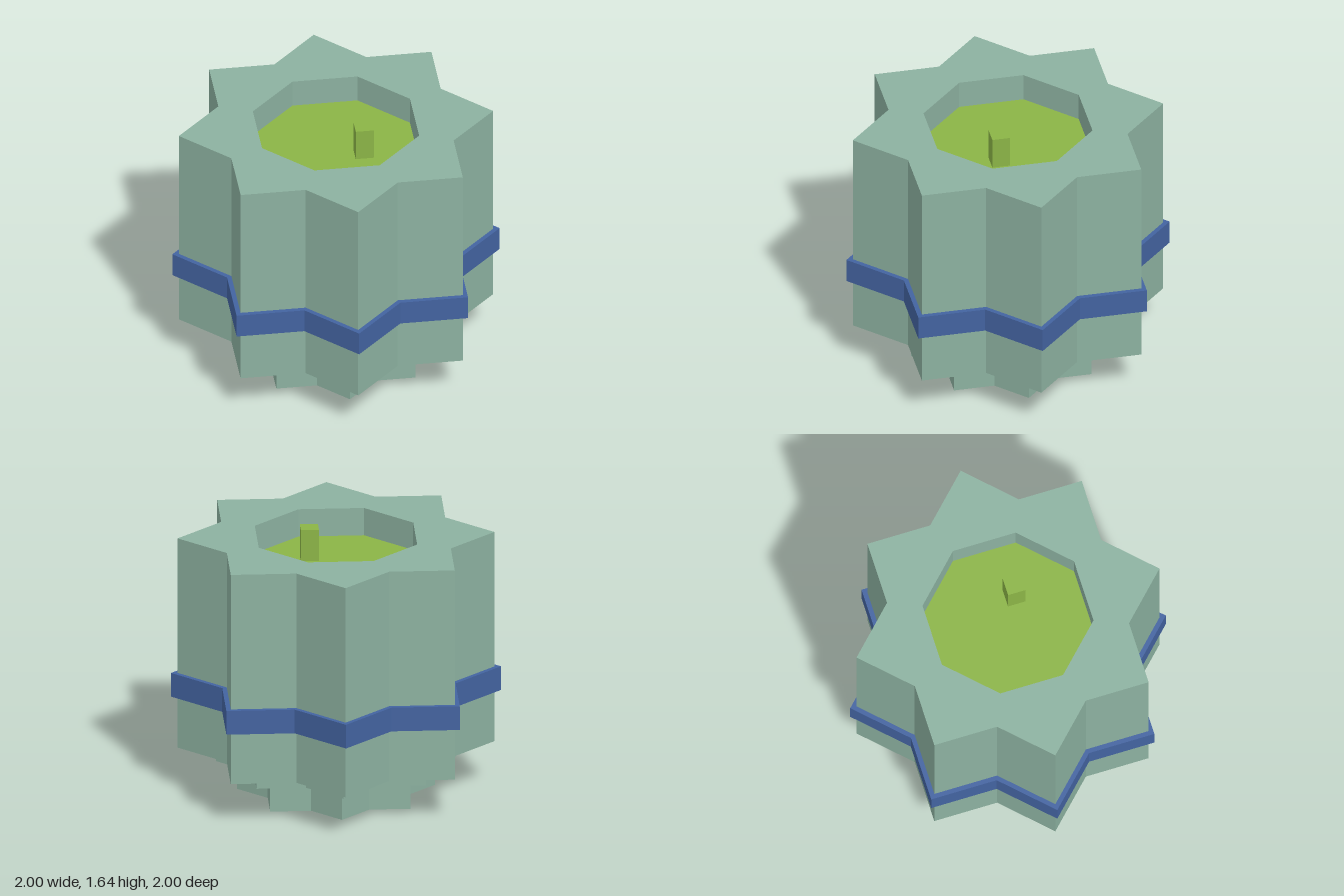
import * as THREE from 'three';

const sage = new THREE.MeshStandardMaterial({ color: 0x8cb1a0 });
sage.name = 'sage';
const blue = new THREE.MeshStandardMaterial({ color: 0x4363a0 });
blue.name = 'blue';
const green = new THREE.MeshStandardMaterial({ color: 0x8bb446 });
green.name = 'green';

// Eight-pointed star made of two crossed squares
const INNER = Math.cos(Math.PI / 4) / Math.cos(Math.PI / 8);
function starPoints(r) {
  return Array.from({ length: 16 }, (_, i) => {
    const a = (i * Math.PI) / 8, d = i % 2 ? r * INNER : r;
    return new THREE.Vector2(d * Math.cos(a), d * Math.sin(a));
  });
}

// Regular octagon with flat sides on the axes, at the given distance
function octagonPoints(apothem) {
  const r = apothem / Math.cos(Math.PI / 8);
  return Array.from({ length: 8 }, (_, i) => {
    const a = ((i + 0.5) * Math.PI) / 4;
    return new THREE.Vector2(r * Math.cos(a), r * Math.sin(a));
  });
}

// Upright prism between two heights, with an optional hole
function prism(name, material, points, y0, y1, hole) {
  const shape = new THREE.Shape(points);
  if (hole) shape.holes.push(new THREE.Path(hole));
  const geometry = new THREE.ExtrudeGeometry(shape, { depth: y1 - y0, bevelEnabled: false });
  geometry.rotateX(-Math.PI / 2);
  geometry.translate(0, y0, 0);
  const mesh = new THREE.Mesh(geometry, material);
  mesh.name = name;
  return mesh;
}

export function createModel() {
  const group = new THREE.Group();
  group.name = 'starPlanter';

  // Stepped foot
  group.add(prism('base', sage, starPoints(0.6), 0, 0.18));
  group.add(prism('step', sage, starPoints(0.726), 0.18, 0.272));

  // Hollow body and the band around it
  group.add(prism('body', sage, starPoints(0.96), 0.272, 1.615, octagonPoints(0.48)));
  group.add(prism('band', blue, starPoints(1), 0.6, 0.752, starPoints(0.95)));

  // Planting surface and sprout
  group.add(prism('filling', green, octagonPoints(0.48), 1.38, 1.44));
  const sprout = new THREE.Mesh(new THREE.BoxGeometry(0.11, 0.22, 0.11), green);
  sprout.name = 'sprout';
  sprout.position.set(0.156, 1.53, 0.087);
  group.add(sprout);

  return group;
}
